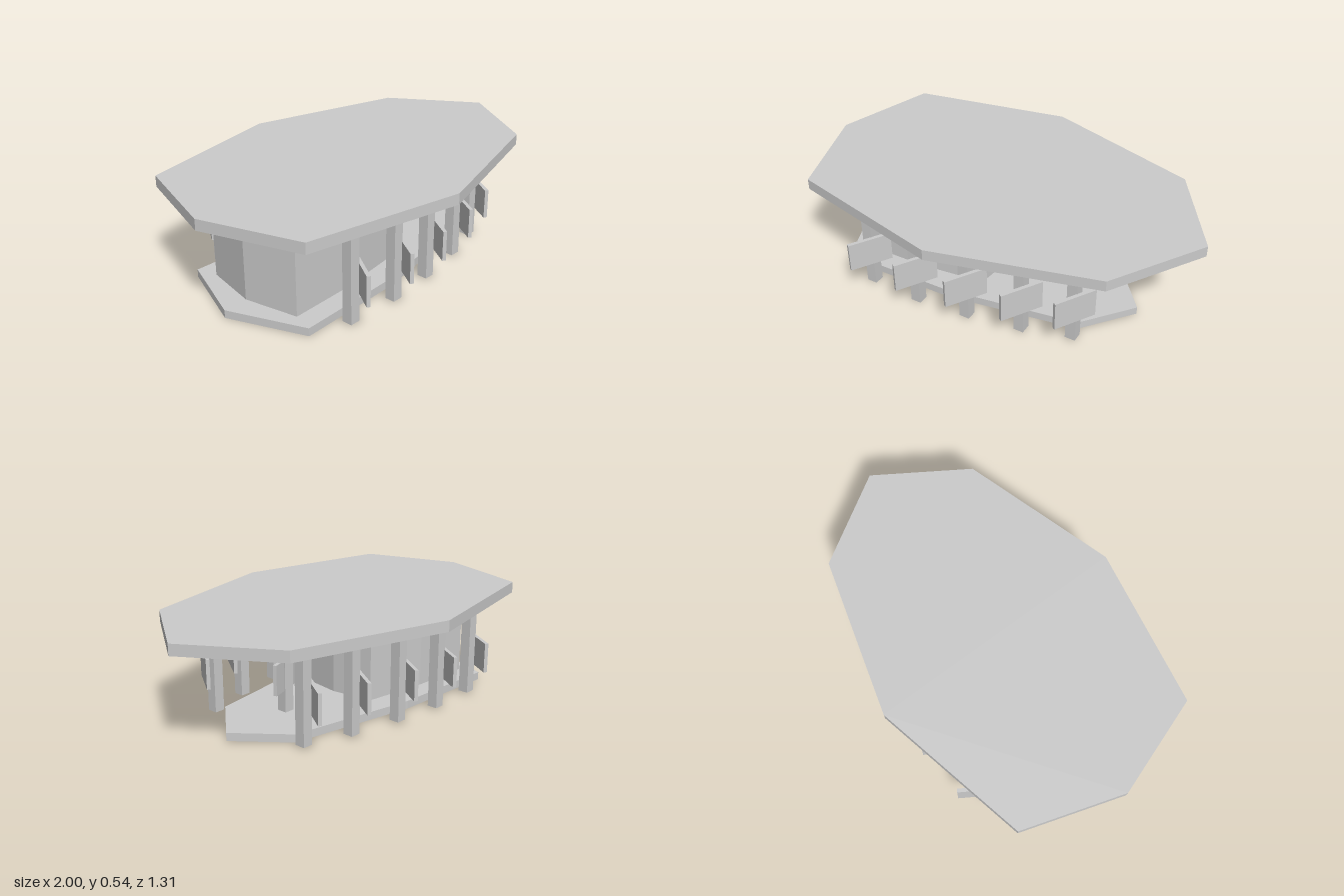
import * as THREE from 'three';

const material = new THREE.MeshStandardMaterial({ color: 0xcccccc, flatShading: true });

function add(parent, geometry, name, x = 0, y = 0, z = 0, turn = 0) {
  const mesh = new THREE.Mesh(geometry, material);
  mesh.name = name;
  mesh.position.set(x, y, z);
  mesh.rotation.y = turn;
  parent.add(mesh);
  return mesh;
}

// Upright prism from half an outline [x, z], mirrored across z = 0
function prism(half, y0, y1) {
  const mirrored = half.slice(1, -1).reverse().map(([x, z]) => [x, -z]);
  const shape = new THREE.Shape([...half, ...mirrored].map(([x, z]) => new THREE.Vector2(x, z)));
  const geometry = new THREE.ExtrudeGeometry(shape, { depth: y1 - y0, bevelEnabled: false });
  geometry.rotateX(-Math.PI / 2);
  geometry.translate(0, y0, 0);
  return geometry;
}

export function createModel() {
  const model = new THREE.Group();
  model.name = 'pavilion';

  // Floor, enclosed room and overhanging roof
  add(model, prism([[0.71, 0], [0.51, 0.24], [-0.15, 0.36], [-0.73, 0.38], [-0.88, 0]], 0, 0.04), 'floorSlab');
  add(model, prism([[0, 0], [-0.03, 0.22], [-0.37, 0.265], [-0.7, 0.275], [-0.755, 0]], 0.04, 0.48), 'room');
  add(model, prism([[1, 0], [0.72, 0.433], [-0.06, 0.653], [-0.84, 0.488], [-1, 0]], 0.48, 0.535), 'roof');

  const post = new THREE.BoxGeometry(0.052, 0.475, 0.052);
  const panel = new THREE.BoxGeometry(0.215, 0.15, 0.018);
  const postY = 0.2475, panelY = 0.225;

  // Rows of posts on both sides, each with a slanted panel on its outer face
  const row = [[-0.53, 0.44], [-0.255, 0.45], [0.01, 0.425], [0.28, 0.375], [0.515, 0.3]];
  for (const side of [1, -1]) {
    for (const [x, z] of row) {
      const bay = new THREE.Group();
      bay.name = side > 0 ? 'frontPost' : 'backPost';
      bay.position.set(x, 0, z * side);
      add(bay, post, 'post', 0, postY, 0);
      add(bay, panel, 'panel', 0.024 * side, panelY, 0.042 * side, 1.01);
      model.add(bay);
    }
  }

  // Single post with its panel on the centre line
  add(model, post, 'centrePost', 0.335, postY, 0);
  add(model, new THREE.BoxGeometry(0.24, 0.15, 0.018), 'centrePanel', 0.325, panelY, 0, 0.33);

  return model;
}
